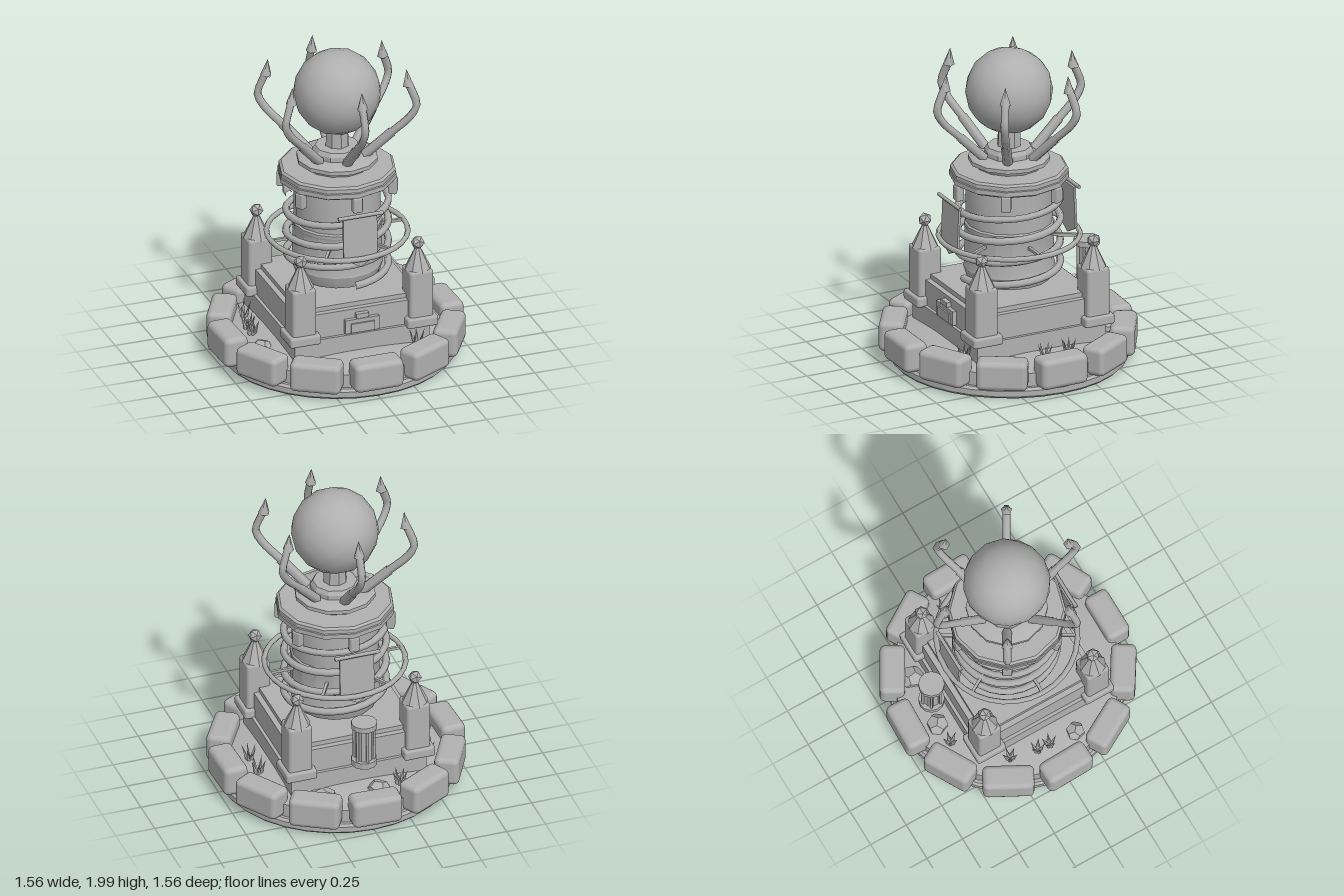
import * as THREE from 'three';
import { toCreasedNormals } from 'three/addons/utils/BufferGeometryUtils.js';
import { RoundedBoxGeometry } from 'three/addons/geometries/RoundedBoxGeometry.js';

const stone = new THREE.MeshStandardMaterial({ color: 0xb0b0b0 });
stone.name = 'grey stone';

export function createModel() {
  const model = new THREE.Group();
  model.name = 'orbTower';

  const add = (parent, name, geo, x = 0, y = 0, z = 0) => {
    const mesh = new THREE.Mesh(geo, stone);
    mesh.name = name;
    mesh.position.set(x, y, z);
    parent.add(mesh);
    return mesh;
  };
  const group = (name, x = 0, y = 0, z = 0, turn = 0) => {
    const g = new THREE.Group();
    g.name = name;
    g.position.set(x, y, z);
    g.rotation.y = turn;
    model.add(g);
    return g;
  };
  const lathe = (pts, sides, crease = 0.5) =>
    toCreasedNormals(new THREE.LatheGeometry(pts.map(p => new THREE.Vector2(...p)), sides), crease);
  const drum = (rTop, rBottom, y0, y1, sides) =>
    toCreasedNormals(new THREE.CylinderGeometry(rTop, rBottom, y1 - y0, sides).translate(0, (y0 + y1) / 2, 0), 0.45);

  // Round base and raised earth
  add(model, 'baseDisc', lathe([[0, 0], [0.71, 0], [0.725, 0.015], [0.725, 0.05], [0.71, 0.065],
    [0.69, 0.065], [0.69, 0.15], [0.62, 0.17], [0.45, 0.19], [0, 0.19]], 32));

  // Kerb of twelve rounded blocks
  for (let i = 0; i < 12; i++) {
    const a = i * Math.PI / 6;
    const block = add(model, 'kerbBlock', new RoundedBoxGeometry(0.315, 0.185 + 0.008 * (i % 2), 0.155, 2, 0.035),
      Math.sin(a) * 0.7 - 0.01, 0.155, Math.cos(a) * 0.7);
    block.rotation.y = a + 0.04 * Math.sin(i * 5);
  }

  // Square stepped plinth
  for (const [name, w, y0, y1] of [['plinthFoot', 0.87, 0.15, 0.3], ['plinthWall', 0.83, 0.3, 0.46], ['plinthSlab', 0.76, 0.46, 0.49]]) {
    add(model, name, new THREE.BoxGeometry(w, y1 - y0, w), 0, (y0 + y1) / 2, 0);
  }

  // Small hatch on the front wall
  add(model, 'hatchFrame', new THREE.BoxGeometry(0.22, 0.09, 0.04), 0, 0.355, 0.42);
  add(model, 'hatchPanel', new THREE.BoxGeometry(0.15, 0.06, 0.05), 0, 0.345, 0.425);
  add(model, 'hatchLamp', new THREE.BoxGeometry(0.08, 0.03, 0.04), 0, 0.42, 0.425);

  // Corner pillars with pointed caps
  for (const sx of [-1, 1]) for (const sz of [-1, 1]) {
    const pillar = group('cornerPillar', sx * 0.38, 0, sz * 0.38);
    add(pillar, 'pillarFoot', new RoundedBoxGeometry(0.2, 0.065, 0.2, 1, 0.015), 0, 0.32, 0);
    add(pillar, 'pillarShaft', new RoundedBoxGeometry(0.155, 0.32, 0.155, 1, 0.018), 0, 0.495, 0);
    add(pillar, 'pillarCap', drum(0.018, 0.085, 0.645, 0.785, 8));
    add(pillar, 'pillarFinial', new THREE.IcosahedronGeometry(0.043, 0), 0, 0.82, 0);
  }

  // Central column
  add(model, 'columnNeck', drum(0.08, 0.08, 0.48, 0.54, 8));
  add(model, 'column', lathe([[0, 0.525], [0.255, 0.525], [0.265, 0.55], [0.28, 0.6], [0.275, 0.62], [0.27, 0.85],
    [0.275, 0.86], [0.275, 0.88], [0.265, 0.89], [0.265, 1.14], [0.24, 1.17]], 16));

  // Spiral band, rising from the front towards the left side
  class Helix extends THREE.Curve {
    getPoint(t, out = new THREE.Vector3()) {
      const a = t * 3.75 * Math.PI * 2;
      return out.set(Math.sin(a) * 0.312, 0.56 + t * 0.53, Math.cos(a) * 0.312);
    }
  }
  add(model, 'spiralBand', new THREE.TubeGeometry(new Helix(), 110, 0.023, 6));

  // Level ring with thin spokes
  const ring = add(model, 'levelRing', new THREE.TorusGeometry(0.43, 0.017, 6, 32), 0, 0.795, 0);
  ring.rotation.x = Math.PI / 2;
  for (let i = 0; i < 6; i++) {
    const a = (i + 0.5) * Math.PI / 3;
    const spoke = add(model, 'ringSpoke', new THREE.BoxGeometry(0.018, 0.018, 0.17),
      Math.sin(a) * 0.345, 0.795, Math.cos(a) * 0.345);
    spoke.rotation.y = a;
  }

  // Hanging banners, front and back
  const cloth = new THREE.Shape([[-0.11, 0.27], [-0.11, 0], [0, -0.06], [0.11, 0], [0.11, 0.27]]
    .map(p => new THREE.Vector2(...p)));
  for (const turn of [0, Math.PI]) {
    const banner = group('banner', 0, 0, 0, turn);
    const sheet = add(banner, 'bannerCloth',
      new THREE.ExtrudeGeometry(cloth, { depth: 0.014, bevelEnabled: false }), 0, 0.795, 0.395);
    sheet.rotation.x = -0.04;
    const rod = add(banner, 'bannerRod', new THREE.CylinderGeometry(0.012, 0.012, 0.29, 6), 0, 1.075, 0.405);
    rod.rotation.z = Math.PI / 2;
  }

  // Collar and stacked rings under the orb
  add(model, 'collar', lathe([[0.2, 1.16], [0.34, 1.16], [0.365, 1.175], [0.365, 1.205], [0.36, 1.21],
    [0.36, 1.235], [0.345, 1.247], [0, 1.247]], 12, 0.4));
  add(model, 'upperDisc', lathe([[0.2, 1.245], [0.21, 1.265], [0.25, 1.28], [0.25, 1.305], [0.22, 1.32], [0, 1.32]], 12));
  add(model, 'orbSeat', lathe([[0.15, 1.315], [0.15, 1.35], [0.135, 1.375], [0, 1.38]], 10));
  add(model, 'orbStem', drum(0.07, 0.075, 1.36, 1.5, 8));
  add(model, 'orb', new THREE.IcosahedronGeometry(0.268, 2), 0, 1.732, 0);

  // Six claws around the orb and six brackets under the collar
  const clawPath = new THREE.CatmullRomCurve3([[0.17, 1.32], [0.33, 1.48], [0.45, 1.6], [0.49, 1.68], [0.47, 1.75], [0.435, 1.83]]
    .map(([r, y]) => new THREE.Vector3(0, y, r)));
  const clawGeo = new THREE.TubeGeometry(clawPath, 16, 0.025, 6);
  const lowerClaw = new THREE.TubeGeometry(
    new THREE.LineCurve3(new THREE.Vector3(0, 1.32, 0.17), new THREE.Vector3(0, 1.49, 0.34)), 1, 0.031, 6);
  for (let i = 0; i < 6; i++) {
    const arm = group('clawArm', 0, 0, 0, i * Math.PI / 3);
    add(arm, 'claw', clawGeo);
    add(arm, 'clawSleeve', lowerClaw);
    add(arm, 'clawTip', new THREE.ConeGeometry(0.036, 0.11, 5), 0, 1.862, 0.432).rotation.x = -0.1;
    add(arm, 'collarBracket', new RoundedBoxGeometry(0.062, 0.1, 0.05, 1, 0.01), 0, 1.125, 0.345);
  }

  // Lantern on the back wall
  const lantern = group('lantern', 0, 0, -0.53);
  add(lantern, 'lanternFoot', drum(0.08, 0.08, 0.375, 0.415, 12));
  add(lantern, 'lanternCore', drum(0.055, 0.055, 0.41, 0.64, 10));
  add(lantern, 'lanternTop', drum(0.08, 0.08, 0.635, 0.67, 12));
  for (let i = 0; i < 6; i++) {
    const a = i * Math.PI / 3;
    add(lantern, 'lanternBar', new THREE.CylinderGeometry(0.009, 0.009, 0.23, 5),
      Math.sin(a) * 0.062, 0.525, Math.cos(a) * 0.062);
  }

  // Grass tufts
  const tufts = [[-0.23, -0.53], [-0.5, -0.27], [-0.54, -0.1], [-0.545, -0.02], [0.54, -0.13], [0.54, 0.03], [0.34, 0.48]];
  for (const [x, z] of tufts) {
    const tuft = group('grassTuft', x, 0.17, z, x * 9 + z * 5);
    for (let i = 0; i < 5; i++) {
      const a = i * Math.PI * 0.4;
      const blade = add(tuft, 'grassBlade', new THREE.ConeGeometry(0.014, 0.1 + 0.015 * (i % 3), 4).translate(0, 0.055, 0),
        Math.sin(a) * 0.012, 0, Math.cos(a) * 0.012);
      blade.rotation.set(Math.cos(a) * 0.32, 0, -Math.sin(a) * 0.32);
    }
  }

  // Loose rocks
  for (const [x, z, r] of [[-0.55, 0.16, 0.06], [0.25, -0.52, 0.075], [-0.09, -0.54, 0.07]]) {
    const rock = add(model, 'looseRock', new THREE.DodecahedronGeometry(r, 0), x, 0.18, z);
    rock.scale.y = 0.65;
    rock.rotation.y = x * 7;
  }
  return model;
}
